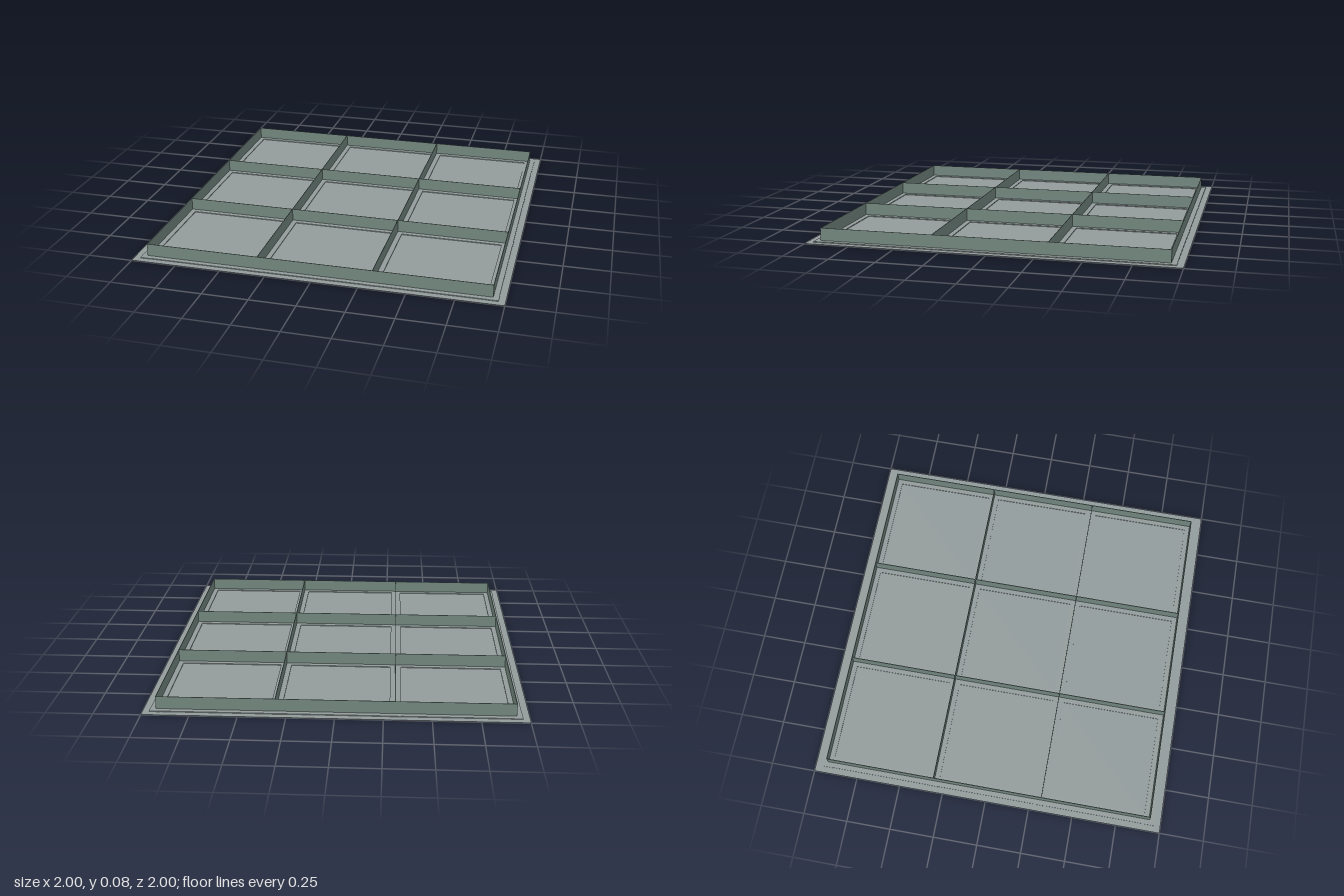
import * as THREE from 'three';

export function createModel() {
  const model = new THREE.Group();
  const plateGrey = new THREE.MeshStandardMaterial({ color: 0x929b9b });
  const wallGreen = new THREE.MeshStandardMaterial({ color: 0x71857d });
  plateGrey.name = 'plateGrey';
  wallGreen.name = 'wallGreen';

  const addBox = (name, material, size, position) => {
    const mesh = new THREE.Mesh(new THREE.BoxGeometry(...size), material);
    mesh.name = name;
    mesh.position.set(...position);
    model.add(mesh);
  };

  // Thin square base sheet
  const base = 0.002;
  addBox('basePlate', plateGrey, [2, base, 2], [0, base / 2, 0]);

  // Grid of thin upright dividers, each standing on a flat flange
  const half = 0.935, height = 0.075, thick = 0.003;
  const flange = 0.06, flangeHeight = 0.004;
  for (let i = 0; i < 4; i++) {
    const p = (-1 + (2 * i) / 3) * (half - thick / 2);
    const wallY = base + (height - base) / 2;
    const flangeY = base + flangeHeight / 2;
    const length = 2 * half;
    addBox('crossWall', wallGreen, [length, height - base, thick], [0, wallY, p]);
    addBox('lengthWall', wallGreen, [thick, height - base, length], [p, wallY, 0]);
    addBox('crossFlange', plateGrey, [length + flange, flangeHeight, flange], [0, flangeY, p]);
    addBox('lengthFlange', plateGrey, [flange, flangeHeight, length + flange], [p, flangeY, 0]);
  }
  return model;
}
